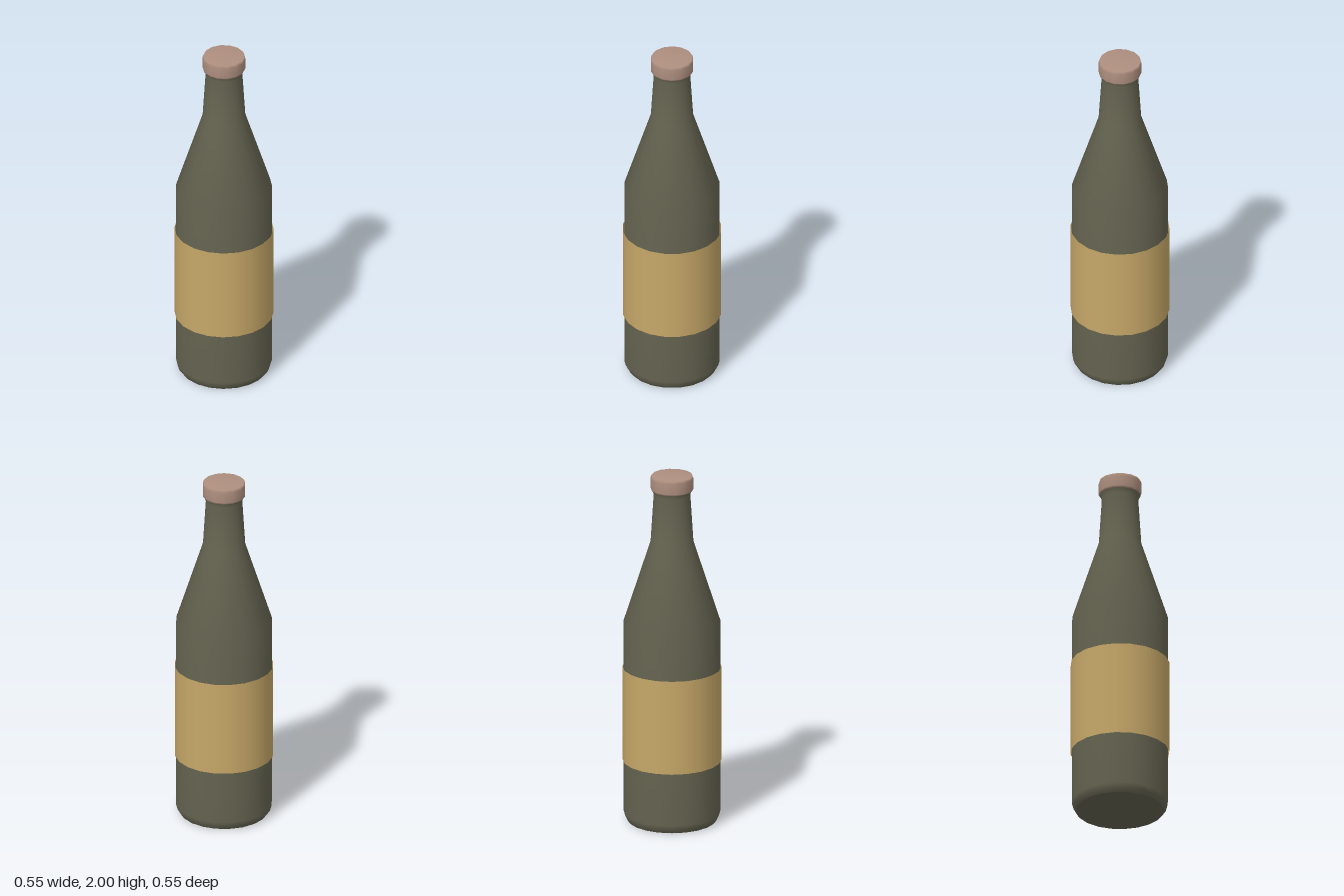
import * as THREE from 'three';

const SIDES = 20;

// Surface of revolution from [radius, height] pairs, listed bottom to top
function lathe(name, profile, sides, material) {
  const points = profile.map(([r, y]) => new THREE.Vector2(r, y));
  const mesh = new THREE.Mesh(new THREE.LatheGeometry(points, sides), material);
  mesh.name = name;
  return mesh;
}

export function createModel() {
  const glass = new THREE.MeshStandardMaterial({ color: 0x646350 });
  glass.name = 'olive glass';
  const paper = new THREE.MeshStandardMaterial({ color: 0xc6a768 });
  paper.name = 'tan paper';
  paper.side = THREE.DoubleSide;
  const metal = new THREE.MeshStandardMaterial({ color: 0xae8f7f });
  metal.name = 'dusty pink cap';

  const bottle = new THREE.Group();
  bottle.name = 'bottle';

  // Body, shoulder and neck, flaring to a lip under the cap
  bottle.add(lathe('body', [
    [0.243, 0], [0.257, 0.02], [0.266, 0.05], [0.266, 1.16],
    [0.118, 1.62], [0.101, 1.89], [0.112, 1.92],
  ], SIDES, glass));

  // Flat base, kept separate for a sharp rim
  const base = new THREE.Mesh(new THREE.CircleGeometry(0.243, SIDES), glass);
  base.name = 'base';
  base.rotation.x = Math.PI / 2;
  bottle.add(base);

  // Paper label, a thin open band just outside the glass
  bottle.add(lathe('label', [[0.273, 0.35], [0.273, 0.89]], SIDES, paper));

  // Cap with a slightly softened rim
  bottle.add(lathe('cap', [
    [0.095, 1.915], [0.114, 1.915], [0.119, 1.925],
    [0.119, 1.985], [0.114, 2], [0, 2],
  ], 14, metal));

  return bottle;
}
